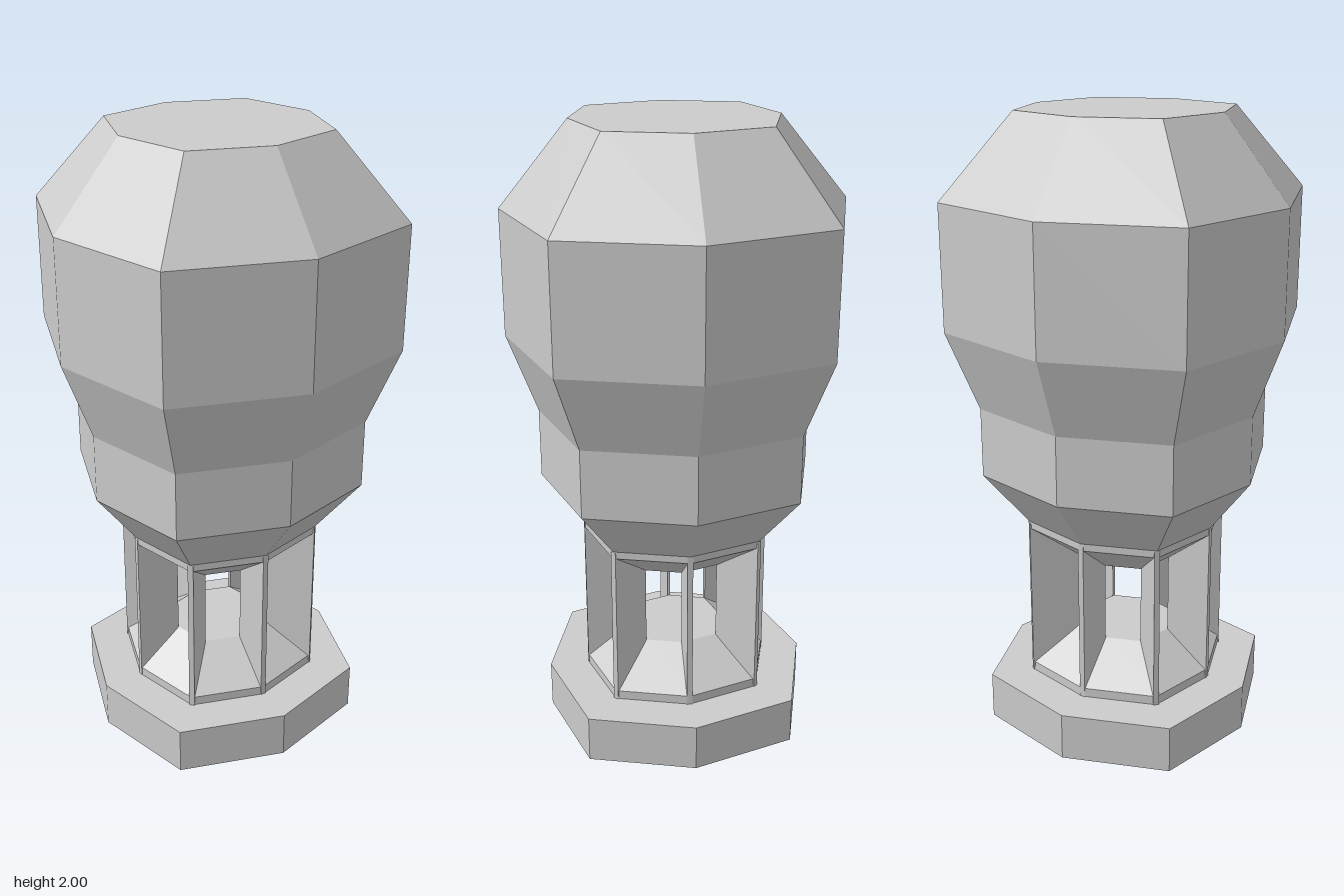
import * as THREE from 'three';

const DIAGONAL = 1.09; // corners on the diagonals stand slightly further out

const material = new THREE.MeshStandardMaterial({
  color: 0xcccccc, flatShading: true, side: THREE.DoubleSide,
});

// Eight-sided shell from [radius, height] pairs
function octagon(name, profile) {
  const geometry = new THREE.LatheGeometry(profile.map(([r, y]) => new THREE.Vector2(r, y)), 8);
  const p = geometry.attributes.position;
  for (let i = 0; i < p.count; i++) {
    const x = p.getX(i), z = p.getZ(i);
    if (Math.min(Math.abs(x), Math.abs(z)) > 1e-4) p.setXYZ(i, x * DIAGONAL, p.getY(i), z * DIAGONAL);
  }
  const mesh = new THREE.Mesh(geometry, material);
  mesh.name = name;
  return mesh;
}

// Upright blade in the x-y plane, thinner towards the centre
function bladeGeometry(outer, inner) {
  const shape = new THREE.Shape([
    [outer, 0.156], [outer, 0.7], [outer - 0.01, 0.68], [inner, 0.564],
    [inner, 0.3], [outer - 0.01, 0.186],
  ].map(([x, y]) => new THREE.Vector2(x, y)));
  const geometry = new THREE.ExtrudeGeometry(shape, { depth: 1, bevelEnabled: false });
  const p = geometry.attributes.position;
  for (let i = 0; i < p.count; i++) {
    const t = (p.getX(i) - inner) / (outer - inner);
    p.setZ(i, (p.getZ(i) - 0.5) * (0.008 + 0.01 * t));
  }
  geometry.computeVertexNormals();
  return geometry;
}

export function createModel() {
  const model = new THREE.Group();
  model.name = 'lantern';

  // Base, open underneath
  model.add(octagon('base', [[0.434, 0], [0.434, 0.156], [0.304, 0.156]]));

  // Narrow rims above and below the windows
  model.add(octagon('lowerRim', [[0.304, 0.156], [0.304, 0.186]]));
  model.add(octagon('upperRim', [[0.304, 0.678], [0.304, 0.702]]));

  // Sloping floor and ceiling of the window chamber
  model.add(octagon('chamberFloor', [[0.304, 0.186], [0.156, 0.3], [0, 0.3]]));
  model.add(octagon('chamberCeiling', [[0, 0.564], [0.156, 0.564], [0.304, 0.678]]));

  // Radial blades between the windows
  const blades = new THREE.Group();
  blades.name = 'windowBlades';
  for (let i = 0; i < 8; i++) {
    const k = i % 2 ? DIAGONAL : 1;
    const blade = new THREE.Mesh(bladeGeometry(0.304 * k, 0.156 * k), material);
    blade.name = 'windowBlade';
    blade.rotation.y = i * Math.PI / 4;
    blades.add(blade);
  }
  model.add(blades);

  // Bulbous upper body with a flat top
  model.add(octagon('body', [
    [0.304, 0.702], [0.436, 0.877], [0.436, 1.1], [0.528, 1.352],
    [0.528, 1.744], [0.317, 2], [0, 2],
  ]));

  return model;
}
